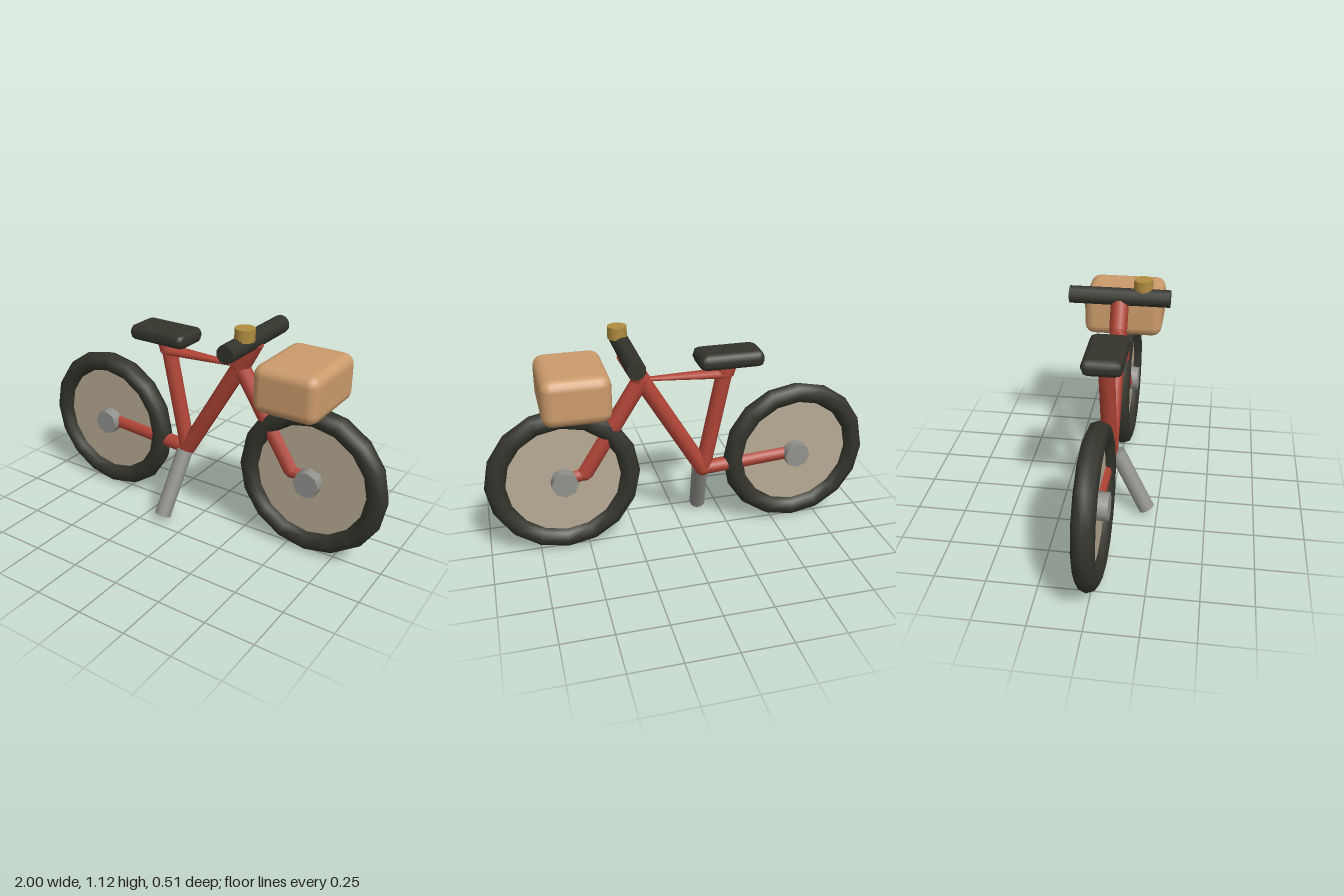
import * as THREE from 'three';
import { RoundedBoxGeometry } from 'three/addons/geometries/RoundedBoxGeometry.js';

const mat = (name, color) => {
  const m = new THREE.MeshStandardMaterial({ color });
  m.name = name;
  return m;
};

export function createModel() {
  const bike = new THREE.Group();
  bike.name = 'bicycle';
  const red = mat('frameRed', 0xb04436);
  const dark = mat('rubberBlack', 0x34342c);
  const tan = mat('discTan', 0xb8ab94);
  const grey = mat('metalGrey', 0x92928e);
  const wood = mat('basketTan', 0xcc9c6c);
  const gold = mat('bellGold', 0xb08c40);

  const add = (name, geo, material, x = 0, y = 0, z = 0, parent = bike) => {
    const mesh = new THREE.Mesh(geo, material);
    mesh.name = name;
    mesh.position.set(x, y, z);
    parent.add(mesh);
    return mesh;
  };

  // Tube from point a to point b, with optional taper
  const tube = (name, a, b, r1, material = red, r2 = r1, sides = 10) => {
    const from = new THREE.Vector3(...a), to = new THREE.Vector3(...b);
    const dir = to.clone().sub(from);
    const mid = from.add(to).multiplyScalar(0.5);
    const mesh = add(name, new THREE.CylinderGeometry(r2, r1, dir.length(), sides), material, mid.x, mid.y, mid.z);
    mesh.quaternion.setFromUnitVectors(new THREE.Vector3(0, 1, 0), dir.normalize());
    return mesh;
  };

  // Wheels: tyre, thin disc and hub
  const wheel = (name, x) => {
    const group = new THREE.Group();
    group.name = name;
    group.position.set(x, 0.395, 0);
    add('tyre', new THREE.TorusGeometry(0.336, 0.053, 8, 16), dark, 0, 0, 0, group);
    add('disc', new THREE.CylinderGeometry(0.31, 0.31, 0.02, 16).rotateX(Math.PI / 2), tan, 0, 0, 0, group);
    add('hub', new THREE.CylinderGeometry(0.067, 0.067, 0.134, 8).rotateX(Math.PI / 2), grey, 0, 0, 0, group);
    bike.add(group);
  };
  wheel('rearWheel', -0.61);
  wheel('frontWheel', 0.61);

  // Frame
  const crank = [-0.11, 0.36, 0], head = [0.205, 0.89, 0], seatJoint = [-0.215, 0.88, 0];
  const forkBend = [0.505, 0.415, 0];
  tube('chainStay', [-0.61, 0.395, 0], crank, 0.038);
  tube('downTube', crank, head, 0.042);
  tube('seatTube', crank, seatJoint, 0.04);
  tube('topTube', seatJoint, head, 0.026, red, 0.009).scale.z = 1.7;
  tube('fork', head, forkBend, 0.043);
  tube('forkEnd', forkBend, [0.61, 0.395, 0], 0.036);
  tube('stem', head, [0.28, 1.03, 0], 0.046);
  tube('seatPost', seatJoint, [-0.235, 0.945, 0], 0.048);
  [[crank, 0.042], [head, 0.045], [seatJoint, 0.042], [forkBend, 0.039]].forEach(([p, r]) =>
    add('frameJoint', new THREE.SphereGeometry(r, 10, 8), red, ...p));

  // Saddle, handlebar, bell
  add('saddle', new RoundedBoxGeometry(0.33, 0.082, 0.195, 1, 0.036), dark, -0.235, 0.966, 0);
  tube('handlebar', [0.275, 1.04, -0.256], [0.275, 1.04, 0.256], 0.045, dark);
  add('bell', new THREE.CylinderGeometry(0.048, 0.048, 0.06, 12), gold, 0.293, 1.1, 0.117);

  // Front basket
  add('basket', new RoundedBoxGeometry(0.33, 0.235, 0.412, 2, 0.052), wood, 0.54, 0.883, 0);

  // Kickstand leaning out to the side
  tube('kickstand', [-0.105, 0.355, 0.035], [-0.137, 0.037, 0.196], 0.042, grey, 0.042, 12);

  return bike;
}
